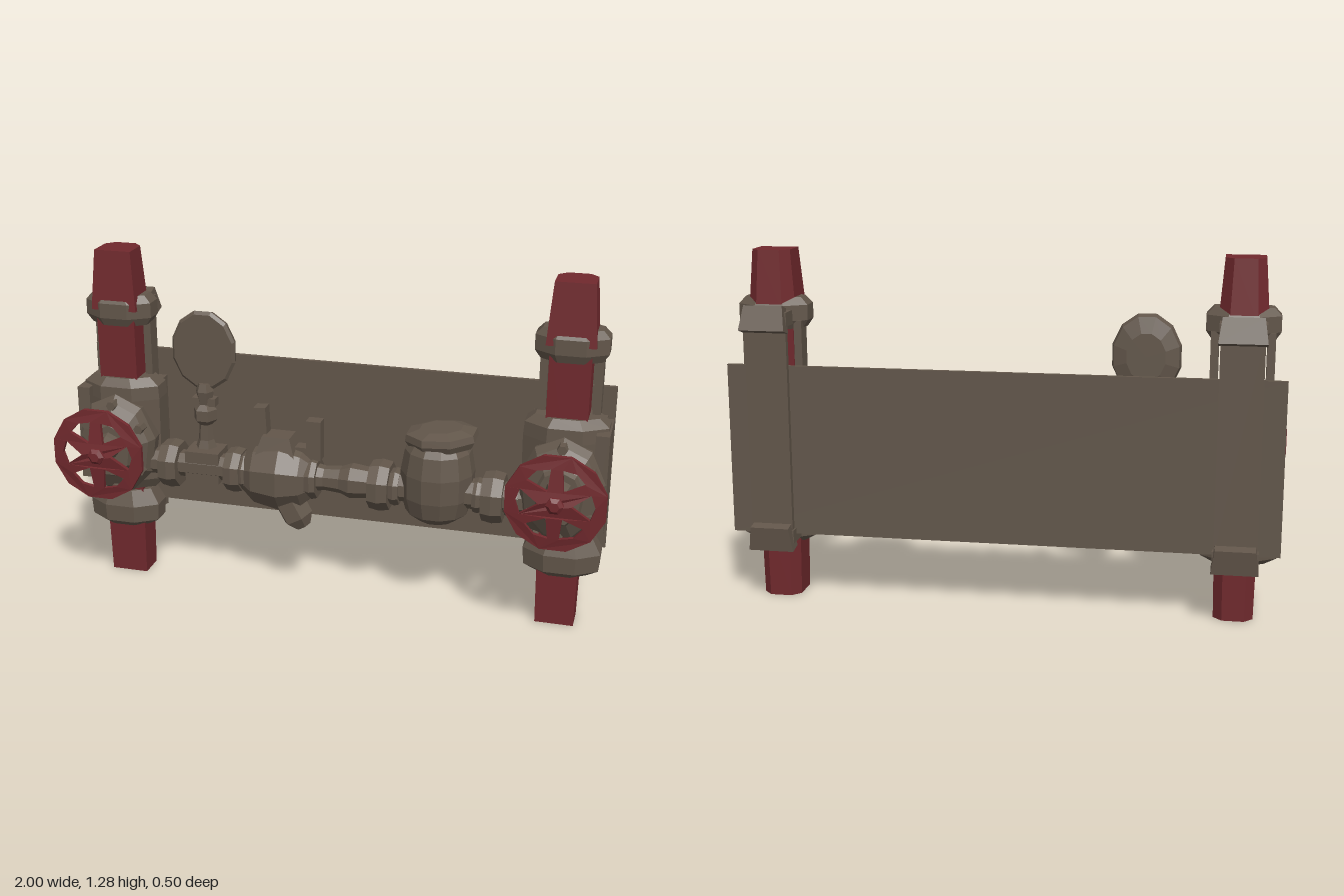
import * as THREE from 'three';

const iron = new THREE.MeshStandardMaterial({ color: 0x62564a, flatShading: true });
iron.name = 'brown iron';
const red = new THREE.MeshStandardMaterial({ color: 0x70292d, flatShading: true });
red.name = 'dark red paint';

function add(parent, name, geo, mat, x = 0, y = 0, z = 0) {
  const m = new THREE.Mesh(geo, mat);
  m.name = name;
  m.position.set(x, y, z);
  parent.add(m);
  return m;
}

const box = (w, h, d) => new THREE.BoxGeometry(w, h, d);

// Turned part; pts are [radius, distance along axis], closed at both ends
function turned(pts, sides, axis = 'y') {
  const profile = [[0, pts[0][1]], ...pts, [0, pts[pts.length - 1][1]]];
  const g = new THREE.LatheGeometry(profile.map(p => new THREE.Vector2(p[0], p[1])), sides);
  g.rotateY(Math.PI / sides);
  if (axis === 'x') g.rotateZ(-Math.PI / 2);
  if (axis === 'z') g.rotateX(Math.PI / 2);
  return g;
}

// Box whose top is scaled, for rough tapered castings
function taperedBox(w, h, d, s) {
  const g = box(w, h, d);
  const p = g.attributes.position;
  for (let i = 0; i < p.count; i++) {
    if (p.getY(i) > 0) { p.setX(i, p.getX(i) * s); p.setZ(i, p.getZ(i) * s); }
  }
  return g;
}

// Angular pipe section with two chamfered back corners, tapering from w0 to w1
function pipeSection(y0, y1, w0, w1) {
  const s = new THREE.Shape([[-0.5, -0.46], [0.5, -0.46], [0.5, 0.25], [0.28, 0.48], [-0.28, 0.48], [-0.5, 0.25]]
    .map(p => new THREE.Vector2(...p)));
  const g = new THREE.ExtrudeGeometry(s, { depth: 1, bevelEnabled: false });
  g.rotateX(-Math.PI / 2);
  const p = g.attributes.position;
  for (let i = 0; i < p.count; i++) {
    const t = p.getY(i), w = w0 + (w1 - w0) * t;
    p.setXYZ(i, p.getX(i) * w, y0 + (y1 - y0) * t, p.getZ(i) * w);
  }
  return g;
}

// Dished wheel with triangular openings between its spokes
function wheelGeometry() {
  const R = 0.177, n = 6, at = (r, a) => new THREE.Vector2(r * Math.cos(a), r * Math.sin(a));
  const outer = [];
  for (let i = 0; i < 12; i++) outer.push(at(R, (i + 0.5) * Math.PI / 6));
  const shape = new THREE.Shape(outer);
  for (let i = 0; i < n; i++) {
    const a = i * Math.PI * 2 / n;
    shape.holes.push(new THREE.Path([at(0.055, a), at(0.128, a - 0.37), at(0.135, a), at(0.128, a + 0.37)]));
  }
  const g = new THREE.ExtrudeGeometry(shape, { depth: 0.016, bevelEnabled: false });
  const p = g.attributes.position;
  for (let i = 0; i < p.count; i++) {
    p.setZ(i, p.getZ(i) + 0.022 * (1 - Math.hypot(p.getX(i), p.getY(i)) / R));
  }
  return g;
}

// Upright pipe with gate valve, clamps and handwheel; s is the side sign
function standpipe(s) {
  const g = new THREE.Group();
  g.name = s > 0 ? 'leftStandpipe' : 'rightStandpipe';
  g.position.x = 0.83 * s;
  const zc = -0.072;
  add(g, 'lowerPipe', pipeSection(0, 0.3, 0.14, 0.15), red, 0, 0, zc);
  add(g, 'middlePipe', pipeSection(0.3, 1.06, 0.145, 0.145), red, 0, 0, zc);
  add(g, 'upperPipe', pipeSection(1.06, 1.28, 0.172, 0.138), red, 0, 0, zc);

  // Clamp rings
  add(g, 'upperClamp', turned([[0.115, 1.0], [0.137, 1.03], [0.137, 1.085], [0.11, 1.112]], 8), iron, 0, 0, zc)
    .scale.z = 0.66;
  add(g, 'lowerClamp', turned([[0.1, 0.2], [0.145, 0.225], [0.15, 0.29], [0.115, 0.35]], 8), iron, 0.01 * s, 0, -0.055)
    .scale.z = 0.66;
  for (const y of [1.045, 0.25]) {
    const lug = add(g, 'clampLug', taperedBox(0.165, 0.09, 0.055, 0.85), iron, 0, y, -0.212);
    lug.rotation.x = y > 1 ? 0.3 : -0.2;
    for (const k of [-1, 1]) add(g, 'clampBolt', box(0.03, 0.05, 0.12), iron, 0.065 * k, y, -0.15);
  }
  add(g, 'mountingStrip', box(0.15, 0.79, 0.022), iron, 0, 0.645, -0.194);

  // Yoke rods above the valve body
  for (const k of [-1, 1]) add(g, 'yokeRod', box(0.028, 0.28, 0.06), iron, 0.095 * k, 0.89, -0.1);

  // Valve body and flanges
  add(g, 'valveBody', turned([[0.125, 0.36], [0.158, 0.4], [0.162, 0.72], [0.158, 0.77], [0.12, 0.8]], 8), iron, 0, 0, -0.065)
    .scale.z = 0.64;
  add(g, 'valveBack', box(0.26, 0.36, 0.08), iron, 0, 0.59, -0.12);
  add(g, 'sideFlange', taperedBox(0.05, 0.36, 0.19, 0.95), iron, 0.13 * s, 0.58, -0.06);
  add(g, 'bonnet', turned([[0.165, -0.03], [0.175, 0.035], [0.155, 0.065], [0.1, 0.1], [0.09, 0.118]], 9, 'z'), iron, 0, 0.55, 0)
    .scale.set(0.88, 1.12, 1);
  for (let i = 0; i < 6; i++) {
    const a = (i + 0.5) * Math.PI / 3;
    add(g, 'bonnetBolt', turned([[0.022, 0.02], [0.018, 0.085]], 6, 'z'), iron, 0.12 * Math.cos(a), 0.55 + 0.165 * Math.sin(a), 0);
  }
  add(g, 'valveStem', turned([[0.055, 0.1], [0.045, 0.14], [0.028, 0.19], [0.022, 0.235]], 7, 'z'), iron, 0, 0.575, 0);
  add(g, 'handwheel', wheelGeometry(), red, 0, 0.575, 0.203);
  add(g, 'wheelHub', turned([[0.032, 0.205], [0.032, 0.238], [0.018, 0.25]], 6, 'z'), red, 0, 0.575, 0);
  return g;
}

// Pipe run between the standpipes
function crossPipe() {
  const g = new THREE.Group();
  g.name = 'crossPipe';
  add(g, 'pipeRun', turned([[0.05, -0.72], [0.05, -0.33], [0.06, -0.1], [0.045, -0.03], [0.05, 0.03],
    [0.065, 0.07], [0.055, 0.15], [0.055, 0.3], [0.055, 0.72]], 8, 'x'), iron, 0, 0.485, 0);

  // Flanges: [x, width, radius]
  for (const [x, w, r] of [[-0.625, 0.07, 0.092], [-0.375, 0.06, 0.085], [-0.335, 0.03, 0.075], [-0.075, 0.04, 0.08],
    [0.18, 0.075, 0.095], [0.235, 0.035, 0.07], [0.535, 0.03, 0.065], [0.592, 0.075, 0.095], [0.66, 0.05, 0.065]]) {
    add(g, 'pipeFlange', turned([[r * 0.93, -w / 2], [r, 0], [r * 0.93, w / 2]], 8, 'x'), iron, x, 0.48, -0.003);
  }

  // Gauge tee and gauge
  add(g, 'gaugeTee', box(0.13, 0.12, 0.11), iron, -0.495, 0.49, -0.01);
  add(g, 'gaugeStem', turned([[0.045, 0.54], [0.03, 0.58], [0.025, 0.64], [0.045, 0.66], [0.045, 0.7],
    [0.025, 0.72], [0.035, 0.77], [0.025, 0.8]], 6), iron, -0.5, 0, -0.03);
  add(g, 'gaugeCock', box(0.09, 0.03, 0.04), iron, -0.5, 0.73, -0.03);
  add(g, 'gauge', turned([[0.07, -0.03], [0.118, -0.015], [0.125, 0.012], [0.115, 0.022]], 12, 'z'), iron, -0.5, 0.925, -0.045)
    .scale.y = 1.22;

  // Angular strainer body with two posts
  add(g, 'strainerBody', turned([[0.07, -0.14], [0.115, -0.09], [0.135, 0.01], [0.11, 0.09], [0.065, 0.14]], 9, 'x'), iron, -0.205, 0.475, -0.005)
    .scale.z = 0.82;
  const plug = add(g, 'drainPlug', turned([[0.03, -0.09], [0.06, -0.05], [0.06, 0.05]], 6), iron, -0.155, 0.365, 0.01);
  plug.rotation.z = 0.5;
  add(g, 'strainerCap', taperedBox(0.15, 0.07, 0.12, 0.7), iron, -0.21, 0.6, -0.01);
  const postA = add(g, 'rightPost', box(0.045, 0.15, 0.05), iron, -0.275, 0.66, -0.02);
  postA.rotation.z = 0.05;
  add(g, 'leftPost', box(0.055, 0.15, 0.05), iron, -0.075, 0.625, -0.02);
  add(g, 'postLink', box(0.07, 0.04, 0.05), iron, -0.11, 0.575, -0.02);

  // Round check valve with cover plate
  add(g, 'checkValve', turned([[0.07, 0.37], [0.115, 0.405], [0.132, 0.47], [0.134, 0.56], [0.12, 0.64], [0.1, 0.67]], 12), iron, 0.385, 0, -0.015);
  const cover = add(g, 'checkValveCover', turned([[0.12, -0.025], [0.135, 0], [0.13, 0.025], [0.08, 0.04]], 8), iron, 0.395, 0.68, -0.02);
  cover.rotation.z = 0.07;
  cover.scale.z = 0.9;
  return g;
}

export function createModel() {
  const model = new THREE.Group();
  model.name = 'valveStation';
  // Backing panel
  add(model, 'backPanel', box(1.97, 0.62, 0.016), iron, 0, 0.565, -0.17);
  model.add(standpipe(-1), standpipe(1), crossPipe());
  return model;
}
